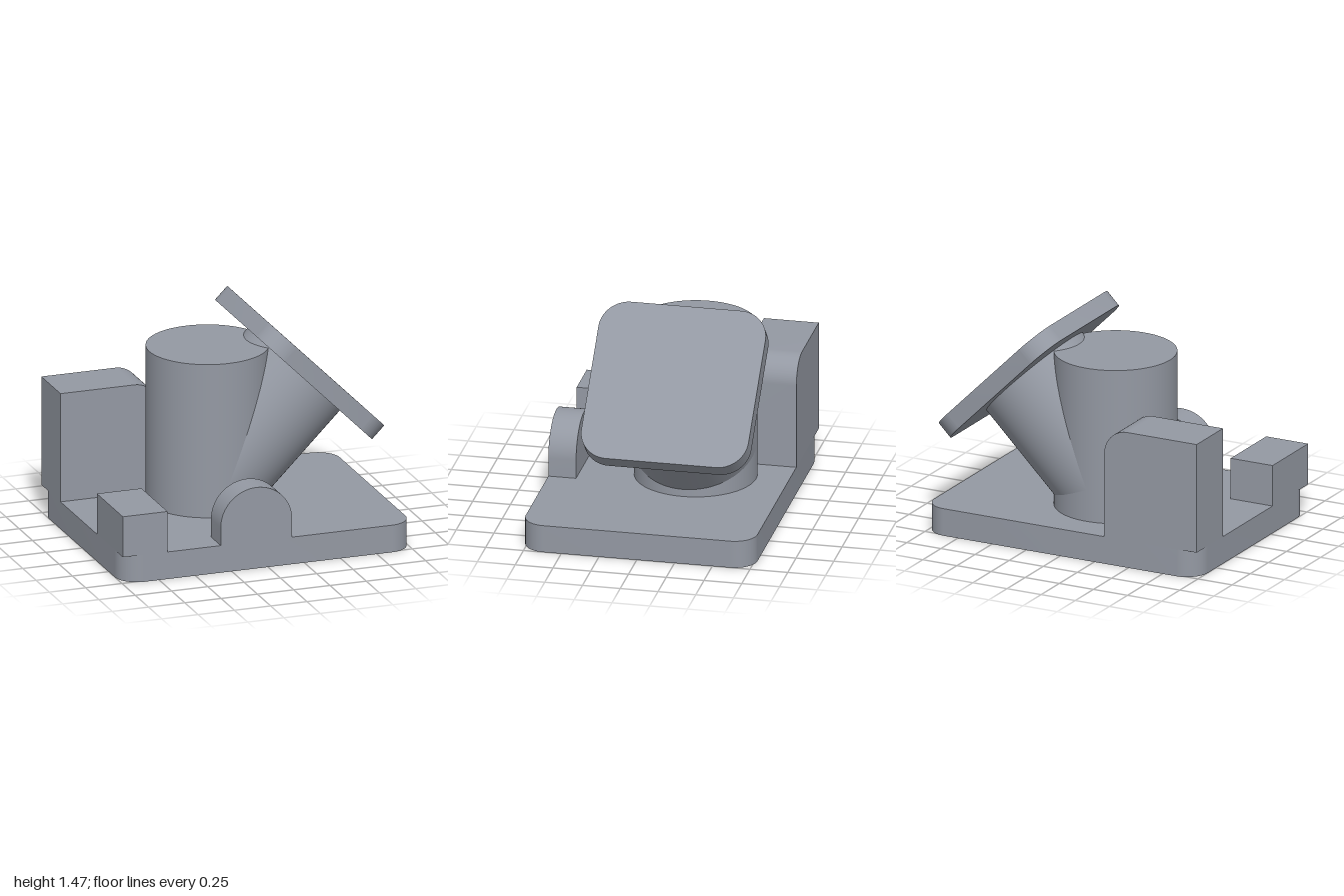
import * as THREE from 'three';
import { toCreasedNormals } from 'three/addons/utils/BufferGeometryUtils.js';

const BASE_TOP = 0.185;
const CX = -0.08, CZ = -0.155, R = 0.4; // column axis and pipe radius

// Rectangle centred on the origin with four rounded corners
function roundedRect(w, h, r) {
  const x = w / 2, y = h / 2;
  const s = new THREE.Shape();
  s.absarc(x - r, y - r, r, 0, Math.PI / 2);
  s.absarc(-x + r, y - r, r, Math.PI / 2, Math.PI);
  s.absarc(-x + r, -y + r, r, Math.PI, Math.PI * 1.5);
  s.absarc(x - r, -y + r, r, Math.PI * 1.5, Math.PI * 2);
  s.closePath();
  return s;
}

// Extrusion along +z with smooth curves and sharp edges
function extrude(shape, depth) {
  const g = new THREE.ExtrudeGeometry(shape, { depth, bevelEnabled: false, curveSegments: 24 });
  return toCreasedNormals(g, 0.5);
}

export function createModel() {
  const group = new THREE.Group();
  const metal = new THREE.MeshStandardMaterial({ color: 0x9499a3 });
  metal.name = 'grey metal';

  const add = (name, geometry, x = 0, y = 0, z = 0) => {
    const mesh = new THREE.Mesh(geometry, metal);
    mesh.name = name;
    mesh.position.set(x, y, z);
    group.add(mesh);
    return mesh;
  };

  // Base plate with rounded corners
  add('basePlate', extrude(roundedRect(2, 1.535, 0.15), BASE_TOP).rotateX(-Math.PI / 2));

  // Upright column
  const columnH = 1.233 - BASE_TOP;
  add('column', new THREE.CylinderGeometry(R, R, columnH, 96), CX, BASE_TOP + columnH / 2, CZ);

  // Branch leaning 45 degrees to the left, starting inside the column
  const flangeX = 0.5125, flangeY = 0.9925;
  const branchL = (flangeX - CX) * Math.SQRT2;
  const branch = add('branch', new THREE.CylinderGeometry(R, R, branchL, 96),
    (CX + flangeX) / 2, (flangeY + flangeY - (flangeX - CX)) / 2, CZ);
  branch.rotation.z = -Math.PI / 4;

  // Rounded flange on the end of the branch
  const flange = extrude(roundedRect(1.106, 1.106, 0.19), 0.12).rotateY(Math.PI / 2).rotateZ(Math.PI / 4);
  add('flange', flange, flangeX, flangeY, CZ);

  // Tall back block with one rounded top corner
  const tall = new THREE.Shape();
  const tr = 0.17, tx = -0.323, ty = 0.925;
  tall.moveTo(-1, BASE_TOP);
  tall.lineTo(tx, BASE_TOP);
  tall.absarc(tx - tr, ty - tr, tr, 0, Math.PI / 2);
  tall.lineTo(-1, ty);
  tall.closePath();
  add('tallBlock', extrude(tall, 0.363), 0, 0, -0.768);

  // Small front corner block
  add('cornerBlock', new THREE.BoxGeometry(0.307, 0.277, 0.49), -0.8465, BASE_TOP + 0.1385, 0.523);

  // Round-topped lug on the front edge
  const lug = new THREE.Shape();
  const lr = 0.246;
  lug.moveTo(CX - lr, BASE_TOP);
  lug.lineTo(CX + lr, BASE_TOP);
  lug.absarc(CX, 0.308, lr, 0, Math.PI);
  lug.closePath();
  add('frontLug', extrude(lug, 0.184), 0, 0, 0.584);

  return group;
}
